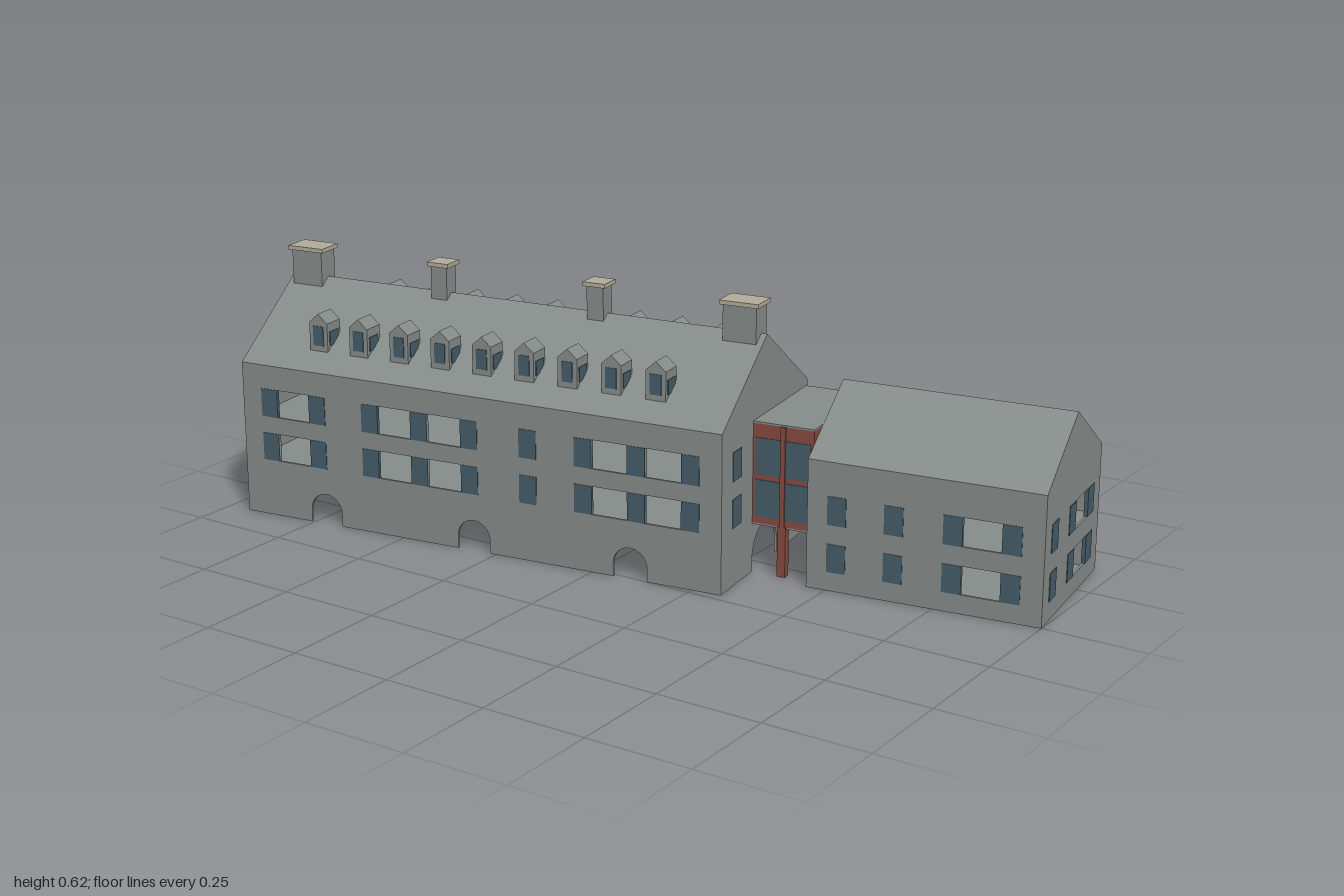
import * as THREE from 'three';

const T = 0.006;      // wall thickness
const PANE = 0.045;   // glazed bay width
const OPEN = 0.09;    // open bay width

const mat = (name, color, side = THREE.FrontSide) => {
  const m = new THREE.MeshStandardMaterial({ color, side });
  m.name = name;
  return m;
};

export function createModel() {
  const stone = mat('grey stone', 0x858c89);
  const glass = mat('blue glass', 0x455d68);
  const red = mat('red frame', 0x86493f);
  const cap = mat('pale cap stone', 0xb0ac98);

  const model = new THREE.Group();
  model.name = 'longHouse';
  const site = new THREE.Group();
  site.name = 'buildings';
  site.rotation.y = 0.1318;
  model.add(site);

  const add = (parent, name, geo, material, x = 0, y = 0, z = 0) => {
    const m = new THREE.Mesh(geo, material);
    m.name = name;
    m.position.set(x, y, z);
    parent.add(m);
    return m;
  };
  const box = (parent, name, material, w, h, d, x, y, z) =>
    add(parent, name, new THREE.BoxGeometry(w, h, d), material, x, y, z);

  // Wall facing +z with arches cut from its foot; each window group
  // alternates glazed bays and open bays: [centre, number of open bays]
  function wall(width, height, rows, windows, arches = []) {
    const g = new THREE.Group();
    g.name = 'wall';
    const s = new THREE.Shape();
    s.moveTo(-width / 2, 0);
    for (const [c, r, h] of arches) {
      s.lineTo(c - r, 0);
      s.lineTo(c - r, h - r);
      s.absarc(c, h - r, r, Math.PI, 0, true);
      s.lineTo(c + r, 0);
    }
    s.lineTo(width / 2, 0);
    s.lineTo(width / 2, height);
    s.lineTo(-width / 2, height);
    s.closePath();

    for (const [y0, y1] of rows) for (const [c, n] of windows) {
      let x = c - ((n + 1) * PANE + n * OPEN) / 2;
      for (let i = 0; i <= n; i++) {
        box(g, 'windowPane', glass, PANE, y1 - y0, T + 0.003, x + PANE / 2, (y0 + y1) / 2, -T / 2);
        x += PANE;
        if (i === n) break;
        const p = new THREE.Path();
        p.moveTo(x, y0);
        p.lineTo(x, y1);
        p.lineTo(x + OPEN, y1);
        p.lineTo(x + OPEN, y0);
        p.closePath();
        s.holes.push(p);
        x += OPEN;
      }
    }
    const geo = new THREE.ExtrudeGeometry(s, { depth: T, bevelEnabled: false, curveSegments: 12 });
    add(g, 'wallPanel', geo, stone, 0, 0, -T);
    return g;
  }

  // Gabled block: four walls, floors and a ridged roof
  function block(name, o) {
    const g = new THREE.Group();
    g.name = name;
    g.position.set(o.x, 0, o.z);
    site.add(g);
    const sides = [
      ['frontWall', 0, o.w, o.d / 2, o.front, o.longArches],
      ['backWall', Math.PI, o.w, o.d / 2, o.back, o.longArches],
      ['rightEndWall', -Math.PI / 2, o.d, o.w / 2, o.end, o.endArches],
      ['leftEndWall', Math.PI / 2, o.d, o.w / 2, o.end.map(([c, n]) => [-c, n]), o.endArches],
    ];
    for (const [label, turn, width, out, windows, arches] of sides) {
      const w = wall(width, o.eave, o.rows, windows, arches);
      w.name = label;
      w.rotation.y = turn;
      w.translateZ(out);
      g.add(w);
    }
    for (const y of o.floors)
      box(g, 'floor', stone, o.w - 2 * T, 0.006, o.d - 2 * T, 0, y + 0.003, 0);
    const s = new THREE.Shape();
    s.moveTo(-o.d / 2, 0);
    s.lineTo(o.d / 2, 0);
    s.lineTo(0, o.ridge - o.eave);
    s.closePath();
    const roof = new THREE.ExtrudeGeometry(s, { depth: o.w, bevelEnabled: false });
    roof.translate(0, 0, -o.w / 2).rotateY(Math.PI / 2);
    add(g, 'roof', roof, stone, 0, o.eave, 0);
    return g;
  }

  const main = block('mainHouse', {
    x: -0.3465, z: 0.0275, w: 1.273, d: 0.477, eave: 0.378, ridge: 0.547,
    rows: [[0.14, 0.208], [0.25, 0.319]], floors: [0.12, 0.228],
    front: [[-0.4935, 1], [-0.1435, 2], [0.1465, 0], [0.4245, 2]],
    back: [[-0.4935, 1], [-0.1435, 2], [0.1465, 0], [0.4245, 2]],
    end: [[-0.07, 1], [0.158, 0]],
    longArches: [-0.409, 0, 0.409].map((c) => [c, 0.043, 0.075]),
    endArches: [[0, 0.07, 0.1]],
  });

  block('sideWing', {
    x: 0.715, z: -0.0655, w: 0.552, d: 0.397, eave: 0.305, ridge: 0.436,
    rows: [[0.045, 0.112], [0.157, 0.225]], floors: [0, 0.132],
    front: [[-0.205, 0], [-0.07, 0], [0.135, 1]],
    back: [[0.205, 0], [0.07, 0], [-0.135, 1]],
    end: [[-0.062, 1], [0.132, 0]],
  });

  // Dormers: short gabled boxes, nine on each slope
  const ds = new THREE.Shape();
  ds.moveTo(-0.025, 0);
  ds.lineTo(0.025, 0);
  ds.lineTo(0.025, 0.07);
  ds.lineTo(0, 0.092);
  ds.lineTo(-0.025, 0.07);
  ds.closePath();
  const dormerGeo = new THREE.ExtrudeGeometry(ds, { depth: 0.055, bevelEnabled: false });
  for (const turn of [0, Math.PI]) for (let i = -4; i <= 4; i++) {
    const d = new THREE.Group();
    d.name = 'dormer';
    d.rotation.y = turn;
    d.position.set(i * 0.112, 0.415, 0);
    d.translateZ(0.131);
    main.add(d);
    add(d, 'dormerBody', dormerGeo, stone);
    box(d, 'dormerFrontPane', glass, 0.028, 0.048, 0.004, 0, 0.038, 0.055);
    for (const s of [-1, 1])
      box(d, 'dormerSidePane', glass, 0.004, 0.034, 0.036, s * 0.025, 0.032, 0.028);
  }

  // Chimneys along the ridge, wide at the ends
  for (const [x, w, d] of [[-0.58, 0.083, 0.057], [-0.21, 0.043, 0.043], [0.21, 0.043, 0.043], [0.58, 0.083, 0.057]]) {
    box(main, 'chimney', stone, w, 0.112, d, x, 0.556, 0);
    box(main, 'chimneyCap', cap, w + 0.014, 0.01, d + 0.012, x, 0.617, 0);
  }

  // Glazed bridge on posts between the two blocks
  const bridge = new THREE.Group();
  bridge.name = 'glazedBridge';
  bridge.position.set(0.3645, 0, -0.053);
  site.add(bridge);
  box(bridge, 'bridgeFrame', red, 0.149, 0.238, 0.304, 0, 0.239, 0);
  box(bridge, 'bridgeRoof', stone, 0.149, 0.004, 0.304, 0, 0.36, 0);
  box(bridge, 'bridgeUnderside', stone, 0.149, 0.004, 0.304, 0, 0.118, 0);
  for (const s of [-1, 1]) {
    box(bridge, 'bridgePost', red, 0.02, 0.12, 0.02, 0, 0.06, s * 0.147);
    box(bridge, 'bridgeMullion', red, 0.012, 0.238, 0.008, 0, 0.239, s * 0.153);
    for (const x of [-0.037, 0.037]) for (const y of [0.181, 0.281])
      box(bridge, 'bridgePane', glass, 0.062, 0.088, 0.004, x, y, s * 0.152);
  }

  return model;
}
